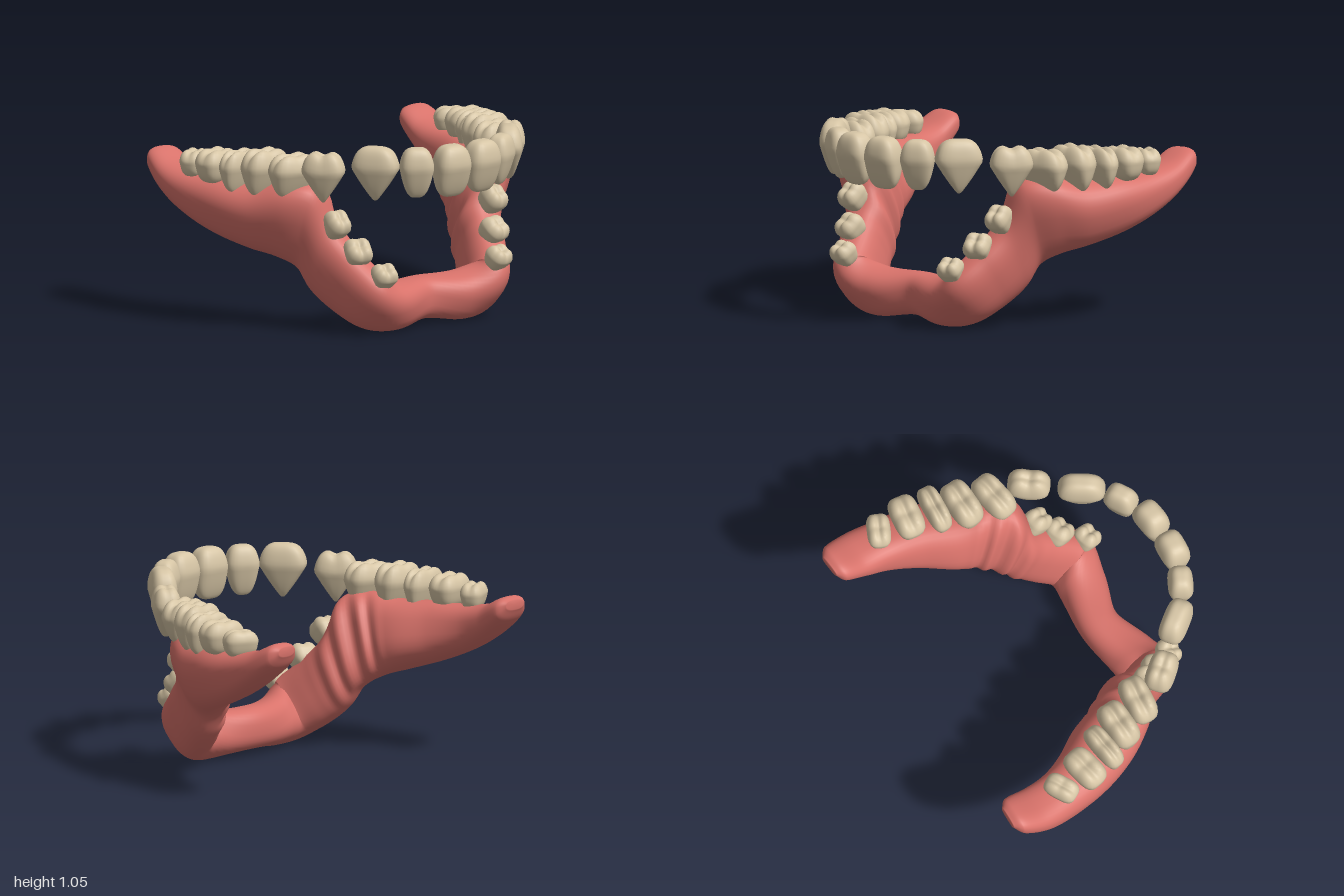
import * as THREE from 'three';
import { mergeVertices } from 'three/addons/utils/BufferGeometryUtils.js';

const gumMat = new THREE.MeshStandardMaterial({ color: 0xd8726a });
gumMat.name = 'gum pink';
const toothMat = new THREE.MeshStandardMaterial({ color: 0xd6c5a5 });
toothMat.name = 'tooth ivory';

// Gum sections from the left rear tip to the middle: top point, bottom point, half width
const SECTIONS = [
  [[0.86, 0.875, -0.826], [0.86, 0.825, -0.828], 0.06],
  [[0.86, 0.89, -0.78], [0.865, 0.76, -0.79], 0.107],
  [[0.87, 0.83, -0.64], [0.87, 0.645, -0.65], 0.128],
  [[0.87, 0.80, -0.48], [0.84, 0.56, -0.51], 0.135],
  [[0.85, 0.79, -0.28], [0.76, 0.485, -0.33], 0.155],
  [[0.78, 0.78, -0.08], [0.67, 0.435, -0.18], 0.17],
  [[0.70, 0.81, 0.10], [0.61, 0.39, -0.07], 0.15],
  [[0.60, 0.78, 0.205], [0.55, 0.32, 0.02], 0.13],
  [[0.51, 0.56, 0.265], [0.52, 0.21, 0.09], 0.12],
  [[0.46, 0.42, 0.39], [0.46, 0.12, 0.18], 0.115],
  [[0.38, 0.29, 0.52], [0.38, 0.05, 0.28], 0.115],
  [[0.24, 0.25, 0.44], [0.23, 0.01, 0.33], 0.125],
  [[0, 0.25, 0.34], [0, 0.02, 0.33], 0.11],
];

function gumGeometry() {
  const half = SECTIONS.length - 1;
  const mirror = ([t, b, w]) => [[-t[0], t[1], t[2]], [-b[0], b[1], b[2]], w];
  const all = [...SECTIONS, ...SECTIONS.slice(0, half).reverse().map(mirror)];
  const curve = (f) => new THREE.CatmullRomCurve3(all.map(f));
  const top = curve((s) => new THREE.Vector3(...s[0]));
  const bottom = curve((s) => new THREE.Vector3(...s[1]));
  const width = curve((s, i) => new THREE.Vector3(s[2], i * 0.1, 0));
  const centre = (u) => top.getPoint(u).add(bottom.getPoint(u)).multiplyScalar(0.5);
  const rows = 216, cols = 36, pos = [], index = [];
  const pow = (v) => Math.sign(v) * Math.abs(v) ** 0.8;
  for (let i = 0; i <= rows; i++) {
    const u = i / rows, c = centre(u);
    const up = top.getPoint(u).sub(c);
    const along = centre(Math.min(1, u + 0.01)).sub(centre(Math.max(0, u - 0.01)));
    const side = along.cross(up).normalize();
    const s = Math.min(u, 1 - u) * 2 * half;
    // soft folds on the inner wall at the bend
    const fold = s > 5.4 && s < 8.6
      ? 0.02 * Math.sin((s - 5.4) * 7.85) * Math.sin((s - 5.4) / 3.2 * Math.PI) : 0;
    const w = width.getPoint(u).x;
    for (let j = 0; j < cols; j++) {
      const a = j / cols * Math.PI * 2;
      const out = w * pow(Math.cos(a)) + fold * Math.max(0, Math.cos(a));
      pos.push(...c.clone().addScaledVector(side, out).addScaledVector(up, pow(Math.sin(a))).toArray());
    }
  }
  for (let i = 0; i < rows; i++) {
    for (let j = 0; j < cols; j++) {
      const k = (j + 1) % cols, a = i * cols, b = a + cols;
      index.push(a + j, b + j, a + k, b + j, b + k, a + k);
    }
  }
  // close both rear tips
  const first = pos.length / 3, last = rows * cols;
  pos.push(...centre(0).toArray(), ...centre(1).toArray());
  for (let j = 0; j < cols; j++) {
    const k = (j + 1) % cols;
    index.push(first, j, k, first + 1, last + k, last + j);
  }
  const g = new THREE.BufferGeometry();
  g.setAttribute('position', new THREE.Float32BufferAttribute(pos, 3));
  g.setIndex(index);
  g.computeVertexNormals();
  return g;
}

// Rounded block narrowed to its lower end, with an optional groove across the top
function toothGeometry([w, h, d], lowW, lowD, groove) {
  let g = new THREE.SphereGeometry(1, 32, 24);
  g.deleteAttribute('uv');
  g.deleteAttribute('normal');
  g = mergeVertices(g, 1e-4);
  const p = g.attributes.position, v = new THREE.Vector3(), n = 3.4;
  for (let i = 0; i < p.count; i++) {
    v.fromBufferAttribute(p, i);
    v.divideScalar((Math.abs(v.x) ** n + Math.abs(v.y) ** n + Math.abs(v.z) ** n) ** (1 / n));
    const t = (v.y + 1) / 2;
    const low = Math.min(1, t / 0.6), high = Math.max(0, (t - 0.6) / 0.4);
    const sx = THREE.MathUtils.lerp(lowW, 1, low) * (1 - 0.14 * high);
    const sz = THREE.MathUtils.lerp(lowD, 1, low) * (1 - 0.14 * high);
    const dip = v.y > 0 ? groove * v.y * (Math.exp(-((v.x / 0.3) ** 2)) + 0.4 * Math.exp(-((v.z / 0.25) ** 2))) : 0;
    p.setXYZ(i, v.x * sx * w / 2, (v.y - dip) * h / 2, v.z * sz * d / 2);
  }
  g.computeVertexNormals();
  return g;
}

// name, centre, size (along arch, up, outward), yaw, pitch, lower width, lower depth, groove
const TEETH = [
  ['centralIncisor', [0.103, 0.905, 0.735], [0.205, 0.285, 0.16], 0.08, 0.05, 0.88, 0.4, 0],
  ['lateralIncisor', [0.285, 0.905, 0.665], [0.185, 0.275, 0.14], 0.5, 0.05, 0.62, 0.4, 0],
  ['canine', [0.455, 0.9, 0.525], [0.26, 0.295, 0.15], 0.95, 0, 0.15, 0.4, 0],
  ['firstPremolar', [0.64, 0.87, 0.31], [0.235, 0.28, 0.16], 0.9, 0, 0.12, 0.4, 0.15],
  ['secondPremolar', [0.695, 0.855, 0.12], [0.165, 0.25, 0.275], 1.7, 0, 0.25, 0.75, 0.25],
  ['firstMolar', [0.755, 0.855, -0.045], [0.17, 0.27, 0.275], 1.57, 0, 0.25, 0.8, 0.25],
  ['secondMolar', [0.815, 0.85, -0.18], [0.125, 0.24, 0.27], 1.47, 0, 0.3, 0.8, 0.25],
  ['thirdMolar', [0.86, 0.86, -0.33], [0.165, 0.19, 0.245], 1.4, 0, 0.7, 0.85, 0.25],
  ['rearMolar', [0.88, 0.85, -0.495], [0.13, 0.15, 0.19], 1.1, 0, 0.7, 0.85, 0.2],
  ['upperRampTooth', [0.535, 0.59, 0.29], [0.135, 0.15, 0.15], 0.1, 0.75, 0.8, 0.8, 0.2],
  ['middleRampTooth', [0.465, 0.445, 0.385], [0.15, 0.14, 0.15], 0.3, 0.75, 0.8, 0.8, 0.25],
  ['lowerRampTooth', [0.39, 0.325, 0.515], [0.14, 0.14, 0.13], 0.2, 0.6, 0.7, 0.7, 0.25],
];

export function createModel() {
  const model = new THREE.Group();
  model.name = 'jaw';
  const gum = new THREE.Mesh(gumGeometry(), gumMat);
  gum.name = 'gum';
  model.add(gum);

  for (const [name, at, size, yaw, pitch, lowW, lowD, groove] of TEETH) {
    const geometry = toothGeometry(size, lowW, lowD, groove);
    for (const side of [1, -1]) {
      const tooth = new THREE.Mesh(geometry, toothMat);
      tooth.name = (side > 0 ? 'left ' : 'right ') + name;
      tooth.position.set(at[0] * side, at[1], at[2]);
      tooth.rotation.set(pitch, yaw * side, 0, 'YXZ');
      model.add(tooth);
    }
  }
  return model;
}
